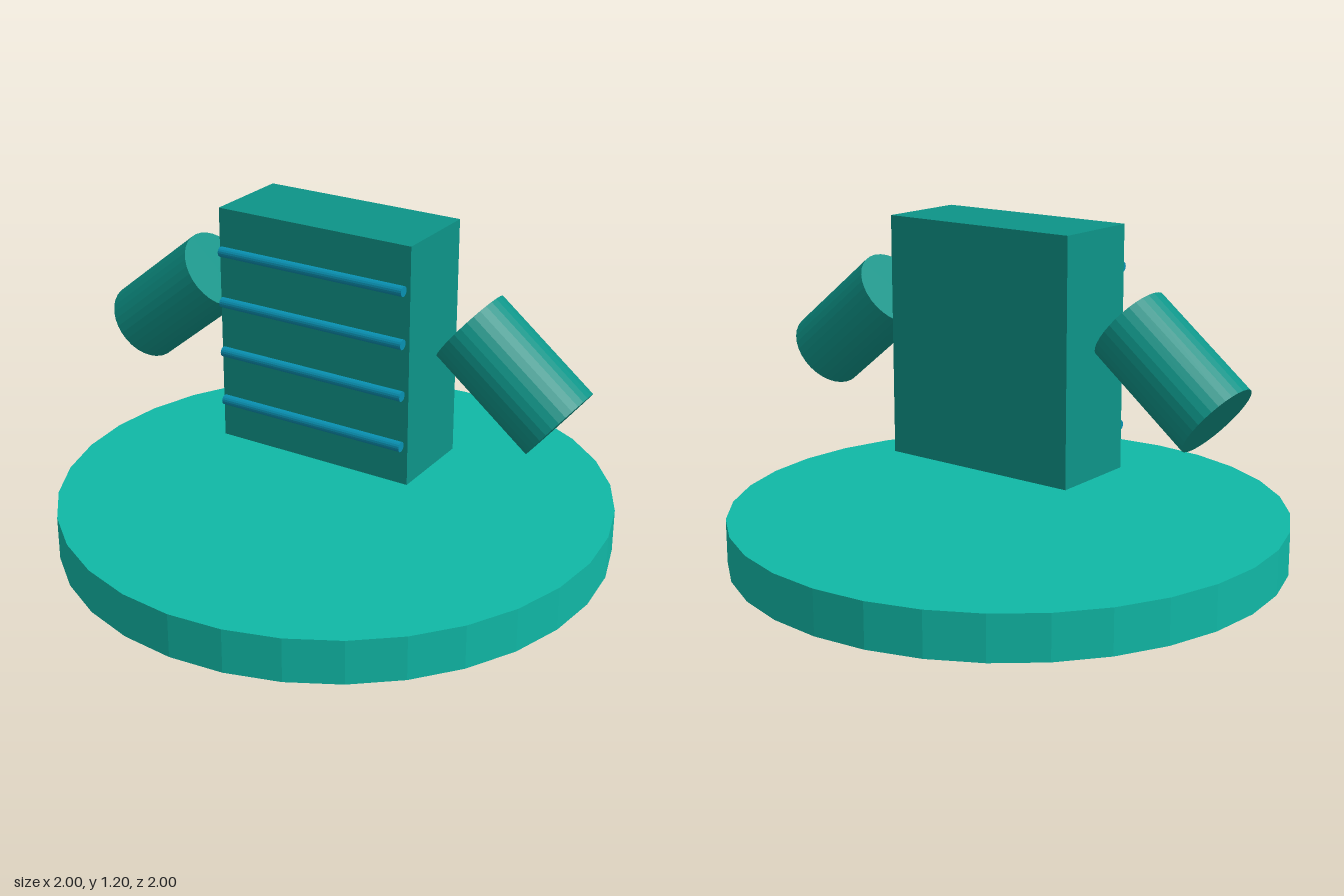
import * as THREE from 'three';

export function createModel() {
  const group = new THREE.Group();

  const paint = (name, color) => {
    const m = new THREE.MeshStandardMaterial({ color });
    m.name = name;
    return m;
  };
  const teal = paint('bright teal', 0x10b8a6);
  const darkTeal = paint('dark teal', 0x0d9488);
  const cyan = paint('cyan', 0x0891b2);

  const add = (name, geometry, material, x, y, z) => {
    const mesh = new THREE.Mesh(geometry, material);
    mesh.name = name;
    mesh.position.set(x, y, z);
    group.add(mesh);
    return mesh;
  };

  // Cylinder with flat facets
  const facetedCylinder = (radius, height, sides) => {
    const g = new THREE.CylinderGeometry(radius, radius, height, sides).toNonIndexed();
    g.computeVertexNormals();
    return g;
  };

  // Round base
  add('base', facetedCylinder(1, 0.16, 32), teal, 0, 0.08, 0);

  // Upright body floating above the base
  add('body', new THREE.BoxGeometry(0.755, 0.855, 0.328), darkTeal, 0, 0.773, -0.016);

  // Thin bars across the front
  const barGeometry = facetedCylinder(0.018, 0.725, 16);
  for (let i = 0; i < 4; i++) {
    const bar = add('frontBar', barGeometry, cyan, 0, 0.492 + i * 0.186, 0.165);
    bar.rotation.z = Math.PI / 2;
  }

  // Slanted arms, mirrored left and right
  const armGeometry = facetedCylinder(0.147, 0.436, 32);
  for (const side of [1, -1]) {
    const arm = add(side > 0 ? 'leftArm' : 'rightArm', armGeometry, darkTeal, side * 0.682, 0.765, -0.016);
    arm.rotation.z = side * 0.894;
  }

  return group;
}
